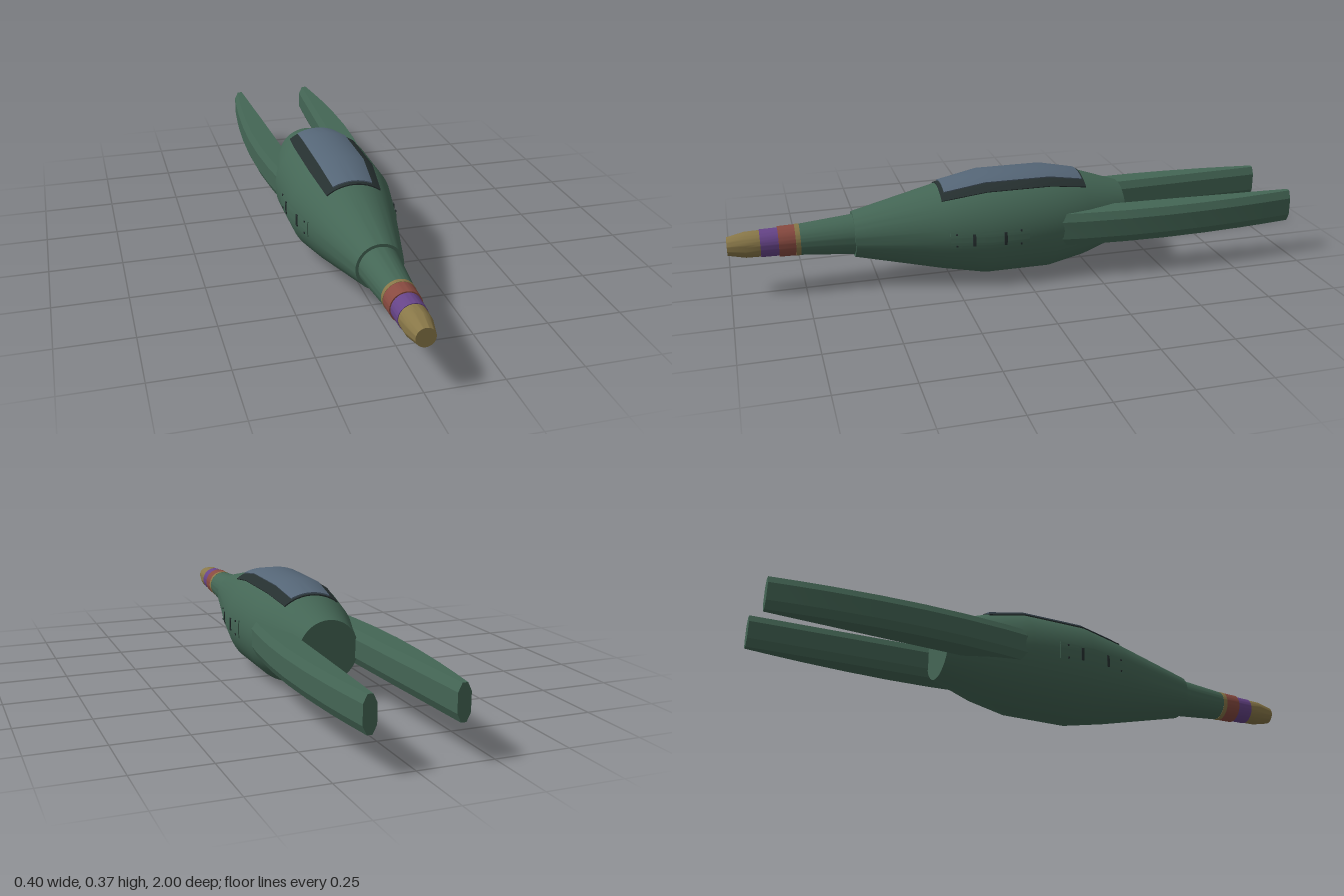
import * as THREE from 'three';
import { mergeGeometries, toCreasedNormals } from 'three/addons/utils/BufferGeometryUtils.js';

const AXIS_Y = 0.181;

// Hull outline: [z, radius] from tail to shoulder
const HULL = [[-0.38, 0.105], [-0.23, 0.155], [-0.1, 0.181], [0.13, 0.181], [0.28, 0.151], [0.58, 0.079]];

function hullRadius(z) {
  for (let i = 1; i < HULL.length; i++) {
    const [z0, r0] = HULL[i - 1], [z1, r1] = HULL[i];
    if (z <= z1) return r0 + (r1 - r0) * (z - z0) / (z1 - z0);
  }
  return HULL.at(-1)[1];
}

// Closed solid of revolution around the z axis from [z, radius] points
function turned(points) {
  const outline = [[points[0][0], 0], ...points, [points.at(-1)[0], 0]];
  const geo = new THREE.LatheGeometry(outline.map(([z, r]) => new THREE.Vector2(r, z)), 56);
  return toCreasedNormals(geo.rotateX(Math.PI / 2), 0.45);
}

// Thin plate that follows the hull: angle is measured from straight down, towards +x
function hullPlate(z0, z1, angle, halfAngle, lift) {
  const zs = [z0, ...HULL.map((p) => p[0]).filter((z) => z > z0 && z < z1), z1];
  const outer = zs.map((z) => new THREE.Vector2(hullRadius(z) + lift, z));
  const inner = zs.map((z) => new THREE.Vector2(hullRadius(z) - 0.004, z)).reverse();
  const start = angle - halfAngle;
  const shell = new THREE.LatheGeometry([inner.at(-1), ...outer, inner[0]], 16, start, halfAngle * 2);
  const walls = [start, angle + halfAngle].map((a) =>
    new THREE.ShapeGeometry(new THREE.Shape([...outer, ...inner])).rotateY(a - Math.PI / 2));
  const geo = mergeGeometries([shell, ...walls]).rotateX(Math.PI / 2);
  return toCreasedNormals(geo, 0.4);
}

// Chamfered tail boom lofted through [z, inner x, outer x] sections
function boomGeometry() {
  const sections = [[-1, 0.122, 0.165], [-0.9, 0.117, 0.177], [-0.8, 0.113, 0.187], [-0.65, 0.106, 0.197],
    [-0.5, 0.1, 0.201], [-0.35, 0.094, 0.197], [-0.2, 0.088, 0.185], [-0.05, 0.08, 0.165]];
  const c = 0.013, h = 0.058, f = 0.031, n = 8;
  const pos = [], index = [];
  for (const [z, i, o] of sections) {
    const ring = [[o, -f], [o, f], [o - c, h], [i + c, h], [i, f], [i, -f], [i + c, -h], [o - c, -h]];
    for (const [x, y] of ring) pos.push(x, y, z);
  }
  const last = (sections.length - 1) * n;
  for (let s = 0; s < last; s += n) {
    for (let k = 0; k < n; k++) {
      const a = s + k, b = s + (k + 1) % n;
      index.push(a, b, b + n, a, b + n, a + n);
    }
  }
  for (let k = 1; k < n - 1; k++) index.push(0, k + 1, k, last, last + k, last + k + 1);
  const geo = new THREE.BufferGeometry();
  geo.setAttribute('position', new THREE.Float32BufferAttribute(pos, 3));
  geo.setIndex(index);
  return toCreasedNormals(geo, 0.3);
}

export function createModel() {
  const mat = (name, color, side = THREE.FrontSide) =>
    Object.assign(new THREE.MeshStandardMaterial({ color, side }), { name });
  const green = mat('hull green', 0x446655);
  const dark = mat('dark trim', 0x263030, THREE.DoubleSide);
  const glass = mat('canopy glass', 0x556677, THREE.DoubleSide);
  const gold = mat('gold', 0x887748);
  const red = mat('rust red', 0x884a40);
  const purple = mat('purple', 0x664488);

  const model = new THREE.Group();
  model.name = 'craft';
  const craft = new THREE.Group();
  craft.name = 'craftBody';
  craft.position.y = AXIS_Y;
  model.add(craft);
  const add = (name, geo, material, parent = craft) => {
    const mesh = new THREE.Mesh(geo, material);
    mesh.name = name;
    parent.add(mesh);
    return mesh;
  };

  // Hull, neck and banded nose
  add('hull', turned(HULL), green);
  add('neck', turned([[0.57, 0.07], [0.762, 0.053]]), green);
  add('neckRing', turned([[0.76, 0.054], [0.776, 0.054]]), gold);
  add('redBand', turned([[0.774, 0.053], [0.832, 0.052]]), red);
  add('purpleBand', turned([[0.83, 0.048], [0.892, 0.047]]), purple);
  add('noseTip', turned([[0.89, 0.045], [0.94, 0.044], [1, 0.031]]), gold);

  // Canopy
  add('canopyFrame', hullPlate(-0.23, 0.285, Math.PI, 0.65, 0.004), dark);
  add('canopyGlass', hullPlate(-0.222, 0.272, Math.PI, 0.435, 0.008), glass);

  // Boom and side hatch, repeated on the other side by a half turn
  const boom = boomGeometry();
  const hatch = hullPlate(0, 0.27, Math.PI / 2, 0.18, 0.003);
  for (const [side, turn] of [['left', 0], ['right', Math.PI]]) {
    const half = new THREE.Group();
    half.name = side + 'Side';
    half.rotation.z = turn;
    craft.add(half);
    add(side + 'Boom', boom, green, half);
    add(side + 'Hatch', hatch, green, half);
    for (const z of [0.085, 0.192]) {
      add(side + 'HatchSlot', hullPlate(z - 0.005, z + 0.005, Math.PI / 2, 0.125, 0.006), dark, half);
    }
    for (const z of [0.03, 0.25]) {
      for (const a of [-0.13, 0.13]) {
        add(side + 'HatchRivet', hullPlate(z - 0.003, z + 0.003, Math.PI / 2 + a, 0.018, 0.006), dark, half);
      }
    }
  }
  return model;
}
